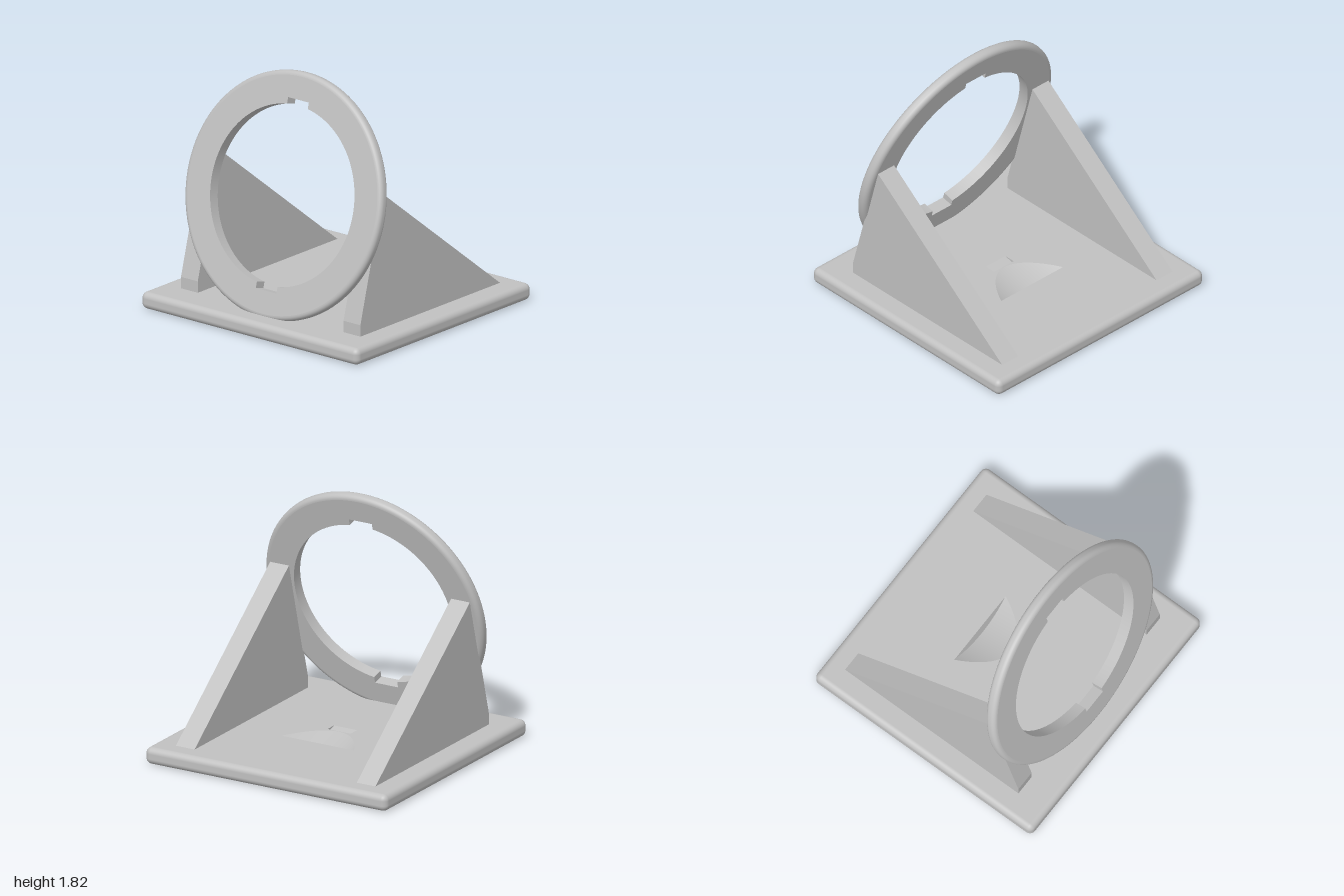
import * as THREE from 'three';
import { toCreasedNormals } from 'three/addons/utils/BufferGeometryUtils.js';
import { RoundedBoxGeometry } from 'three/addons/geometries/RoundedBoxGeometry.js';

const grey = new THREE.MeshStandardMaterial({ color: 0xc0c0c0 });
grey.name = 'grey';

const TILT = THREE.MathUtils.degToRad(15);
const TAN = Math.tan(TILT);
const TOP = 0.125; // top of the base plate
const W = 0.095; // half width of the notches

function add(parent, name, geometry) {
  const mesh = new THREE.Mesh(geometry, grey);
  mesh.name = name;
  parent.add(mesh);
  return mesh;
}

// Surface between two rows of points
function strip(a, b) {
  const pts = [];
  for (let i = 0; i < a.length - 1; i++) {
    pts.push(a[i], a[i + 1], b[i], b[i], a[i + 1], b[i + 1]);
  }
  const g = new THREE.BufferGeometry().setFromPoints(pts);
  g.computeVertexNormals();
  return toCreasedNormals(g, 0.5);
}

const v = (x, y, z) => new THREE.Vector3(x, y, z);

// Base plate with two shallow recesses in its top, in line with the ring's bore
function makeBase() {
  const base = new THREE.Group();
  base.name = 'base';
  const depth = 1.93, r = 0.045;

  // Rounded plate without its flat top
  const box = new RoundedBoxGeometry(2, TOP, depth, 5, r);
  box.translate(0, TOP / 2, 0);
  const plate = box.index ? box.toNonIndexed() : box;
  const p = plate.attributes.position, n = plate.attributes.normal;
  const keptP = [], keptN = [];
  for (let i = 0; i < p.count; i += 3) {
    if ([0, 1, 2].every((k) => p.getY(i + k) > TOP - 1e-5)) continue;
    for (let k = i; k < i + 3; k++) {
      keptP.push(p.getX(k), p.getY(k), p.getZ(k));
      keptN.push(n.getX(k), n.getY(k), n.getZ(k));
    }
  }
  const shell = new THREE.BufferGeometry();
  shell.setAttribute('position', new THREE.Float32BufferAttribute(keptP, 3));
  shell.setAttribute('normal', new THREE.Float32BufferAttribute(keptN, 3));
  add(base, 'basePlate', shell);

  // Curved recess: a tilted cylinder sinking into the plate
  const R = 0.65, front = 0.035, back = -0.25, half = 0.3, N = 32;
  const rim = [], floor = [], edge = [];
  for (let i = 0; i <= N; i++) {
    const x = half * (2 * i / N - 1);
    const sag = R - Math.sqrt(R * R - x * x);
    const d = Math.max(0, ((front - back) * TAN - sag / Math.cos(TILT)) / (1 + TAN * TAN));
    rim.push(v(x, TOP, Math.max(back, front - sag / Math.sin(TILT))));
    floor.push(v(x, TOP - d, back + d * TAN));
    edge.push(v(x, TOP, back));
  }
  add(base, 'recessFloor', strip(rim, floor));
  add(base, 'recessBackWall', strip(floor, edge));

  // Narrow slot ahead of it
  const s0 = 0.13, s1 = 0.042, sd = (s0 - s1) * TAN / (1 + TAN * TAN);
  const row = (y, z) => [v(-W, y, z), v(W, y, z)];
  const [f, b, t] = [row(TOP, s0), row(TOP - sd, s1 + sd * TAN), row(TOP, s1)];
  add(base, 'slotFloor', strip(f, b));
  add(base, 'slotBackWall', strip(b, t));
  add(base, 'slotRightWall', strip([f[0], b[0]], [f[0], t[0]]));
  add(base, 'slotLeftWall', strip([f[1], t[1]], [f[1], b[1]]));

  // Flat top with openings for both recesses
  const hx = 1 - r, hz = depth / 2 - r;
  const flat = (q) => new THREE.Vector2(q.x, -q.z);
  const top = new THREE.Shape([[-hx, -hz], [hx, -hz], [hx, hz], [-hx, hz]].map((q) => new THREE.Vector2(...q)));
  top.holes.push(new THREE.Path(rim.map(flat)));
  top.holes.push(new THREE.Path([f[0], f[1], t[1], t[0]].map(flat)));
  add(base, 'baseTop', new THREE.ShapeGeometry(top).rotateX(-Math.PI / 2).translate(0, TOP, 0));
  return base;
}

// Tilted ring with a notch at the top and bottom of its bore
function makeRing() {
  const ring = new THREE.Group();
  ring.name = 'ring';
  const R = 0.89, inner = 0.65, notch = 0.69, h = 0.0435, r = 0.035;

  const face = new THREE.Shape().absarc(0, 0, R - r, 0, Math.PI * 2);
  const a = Math.asin(W / inner), q = Math.PI / 2;
  const bore = new THREE.Path();
  bore.absarc(0, 0, inner, q + a, 3 * q - a);
  bore.lineTo(-W, -notch).lineTo(W, -notch);
  bore.absarc(0, 0, inner, -q + a, q - a);
  bore.lineTo(W, notch).lineTo(-W, notch);
  bore.closePath();
  face.holes.push(bore);
  const body = new THREE.ExtrudeGeometry(face, { depth: 2 * h, bevelEnabled: false, curveSegments: 64 });
  add(ring, 'ringBody', toCreasedNormals(body.translate(0, 0, -h), 0.4));

  // Rounded outer rim
  const profile = [];
  for (const side of [-1, 1]) {
    for (let i = 0; i <= 6; i++) {
      const t = (side < 0 ? i - 6 : i) / 6 * q;
      profile.push(new THREE.Vector2(R - r + r * Math.cos(t), side * (h - r) + r * Math.sin(t)));
    }
  }
  add(ring, 'ringRim', new THREE.LatheGeometry(profile, 128).rotateX(Math.PI / 2));

  ring.position.set(0, 0.955, 0.55);
  ring.rotation.x = -TILT;
  return ring;
}

// Triangular side support, drawn as (z, y)
function makeSupport() {
  const profile = [[-0.825, 0.12], [0.72, 0.12], [0.72, 0.21], [0.473, 1.12], [0.465, 1.12]];
  const shape = new THREE.Shape(profile.map((q) => new THREE.Vector2(...q)));
  const g = new THREE.ExtrudeGeometry(shape, { depth: 0.155, bevelEnabled: false });
  return g.translate(0, 0, -0.0775).rotateY(-Math.PI / 2);
}

export function createModel() {
  const model = new THREE.Group();
  model.name = 'ringStand';
  model.add(makeBase(), makeRing());
  for (const [name, side] of [['leftSupport', 1], ['rightSupport', -1]]) {
    add(model, name, makeSupport()).position.x = side * 0.749;
  }
  return model;
}
